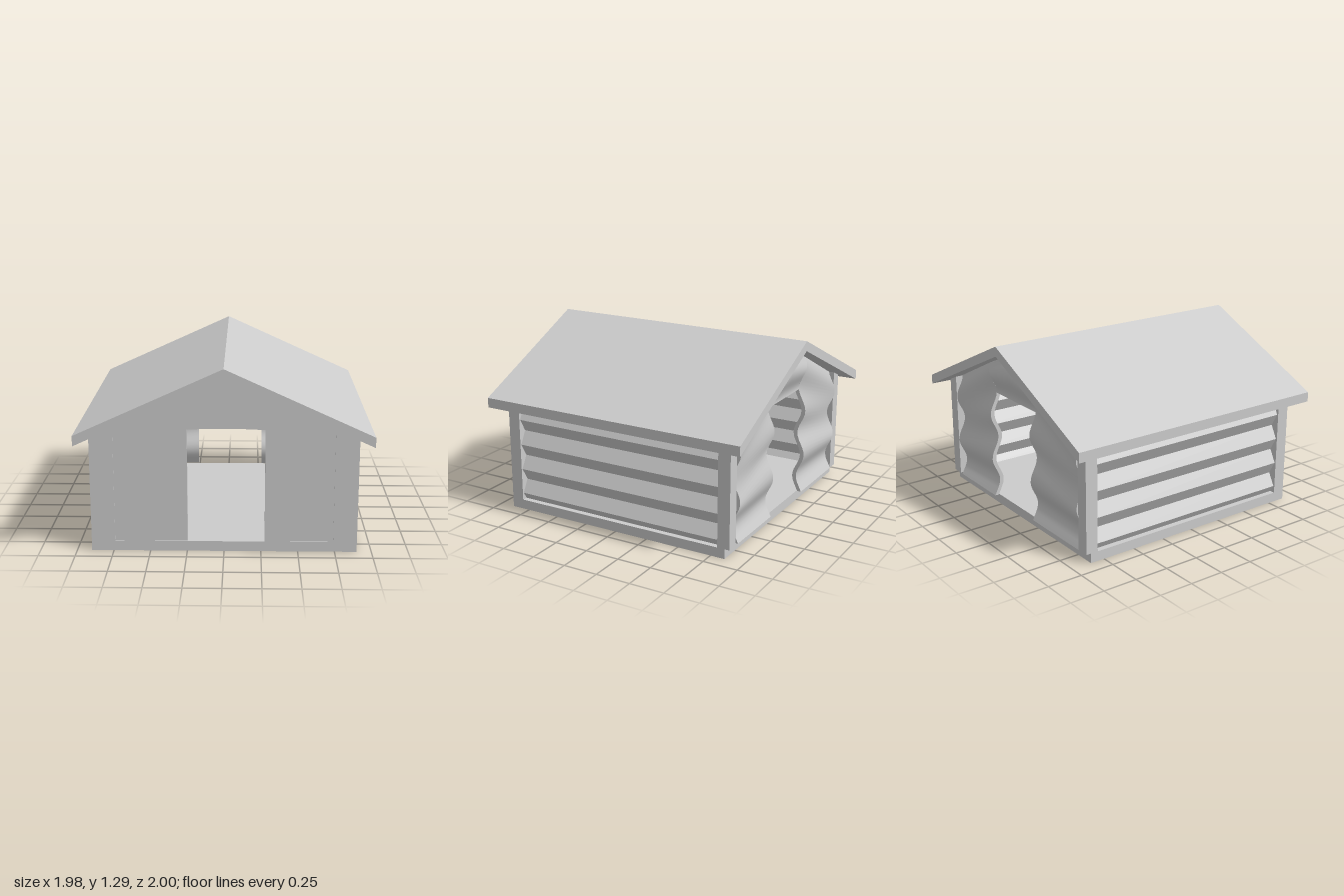
import * as THREE from 'three';

const material = new THREE.MeshStandardMaterial({ color: 0xcccccc, side: THREE.DoubleSide });
const FLOOR = 0.07;
const DOOR = { left: -0.247, right: 0.275, top: 0.855 };

// underside of the roof at a given x
const roofLine = (x) => 1.218 - 0.4545 * Math.abs(x);
// corrugation of the back wall
const ripple = (y) => -0.028 * Math.cos((2 * Math.PI * (y - 0.36)) / 0.34);

function add(parent, name, geometry) {
  const mesh = new THREE.Mesh(geometry, material);
  mesh.name = name;
  parent.add(mesh);
  return mesh;
}

// 2D outline extruded along z between z0 and z1
function extrude(points, z0, z1) {
  const shape = new THREE.Shape(points.map(([x, y]) => new THREE.Vector2(x, y)));
  const geometry = new THREE.ExtrudeGeometry(shape, { depth: z1 - z0, bevelEnabled: false });
  return geometry.translate(0, 0, z0);
}

// upright slab from y0 up to the roof slope, optionally rippled in z
function slab(x0, x1, y0, z0, z1, bend = () => 0, rows = 1) {
  const geometry = new THREE.BoxGeometry(1, 1, 1, 1, rows, 1);
  const p = geometry.attributes.position;
  for (let i = 0; i < p.count; i++) {
    const x = THREE.MathUtils.lerp(x0, x1, p.getX(i) + 0.5);
    const y = THREE.MathUtils.lerp(y0, roofLine(x), p.getY(i) + 0.5);
    const z = THREE.MathUtils.lerp(z0, z1, p.getZ(i) + 0.5) + bend(y);
    p.setXYZ(i, x, y, z);
  }
  geometry.computeVertexNormals();
  return geometry;
}

export function createModel() {
  const house = new THREE.Group();
  house.name = 'smallHouse';

  // Floor slab
  add(house, 'base', new THREE.BoxGeometry(1.8, FLOOR, 1.745).translate(0, FLOOR / 2, 0.0175));

  // Pitched roof
  add(house, 'roof', extrude([
    [-0.99, 0.84], [-0.99, 0.77], [0, 1.22], [0.99, 0.77], [0.99, 0.84], [0, 1.29],
  ], -1, 1));

  // Flat front gable wall with a slightly arched doorway
  add(house, 'frontWall', extrude([
    [-0.74, FLOOR], [DOOR.left, FLOOR], [DOOR.left, DOOR.top], [-0.1, 0.862], [0.1, 0.862],
    [DOOR.right, DOOR.top], [DOOR.right, FLOOR], [0.74, FLOOR],
    [0.74, roofLine(0.74)], [0, roofLine(0)], [-0.74, roofLine(0.74)],
  ], 0.85, 0.885));

  // Rippled back gable wall: panels beside and above the doorway
  const backWall = new THREE.Group();
  backWall.name = 'backWall';
  house.add(backWall);
  const panels = [
    ['backPanelRight', -0.81, DOOR.left, FLOOR],
    ['backPanelLeft', DOOR.right, 0.78, FLOOR],
    ['backLintelRight', DOOR.left, 0, 0.86],
    ['backLintelLeft', 0, DOOR.right, 0.86],
  ];
  for (const [name, x0, x1, y0] of panels) {
    add(backWall, name, slab(x0, x1, y0, -0.875, -0.845, ripple, 36));
  }

  // Zigzag siding profile, outer face upward then inner face back down
  const outer = [
    [0.86, FLOOR], [0.89, 0.12], [0.84, 0.213], [0.89, 0.305], [0.84, 0.4],
    [0.89, 0.493], [0.84, 0.588], [0.89, 0.68], [0.84, 0.775], [0.85, 0.825],
  ];
  const inner = outer.map(([x, y]) => [x - 0.03, y]).reverse();

  for (const [side, label] of [[1, 'Left'], [-1, 'Right']]) {
    const profile = [...outer, ...inner].map(([x, y]) => [side * x, y]);
    add(house, `sideWall${label}`, extrude(profile, -0.8, 0.8));

    // Corner posts: wide at the front, narrow at the back
    const post = (inside, z0, z1) => {
      const [x0, x1] = side > 0 ? [inside, 0.9] : [-0.9, -inside];
      return slab(x0, x1, FLOOR, z0, z1);
    };
    add(house, `frontPost${label}`, post(0.74, 0.8, 0.89));
    add(house, `backPost${label}`, post(0.81, -0.89, -0.8));
  }

  return house;
}
